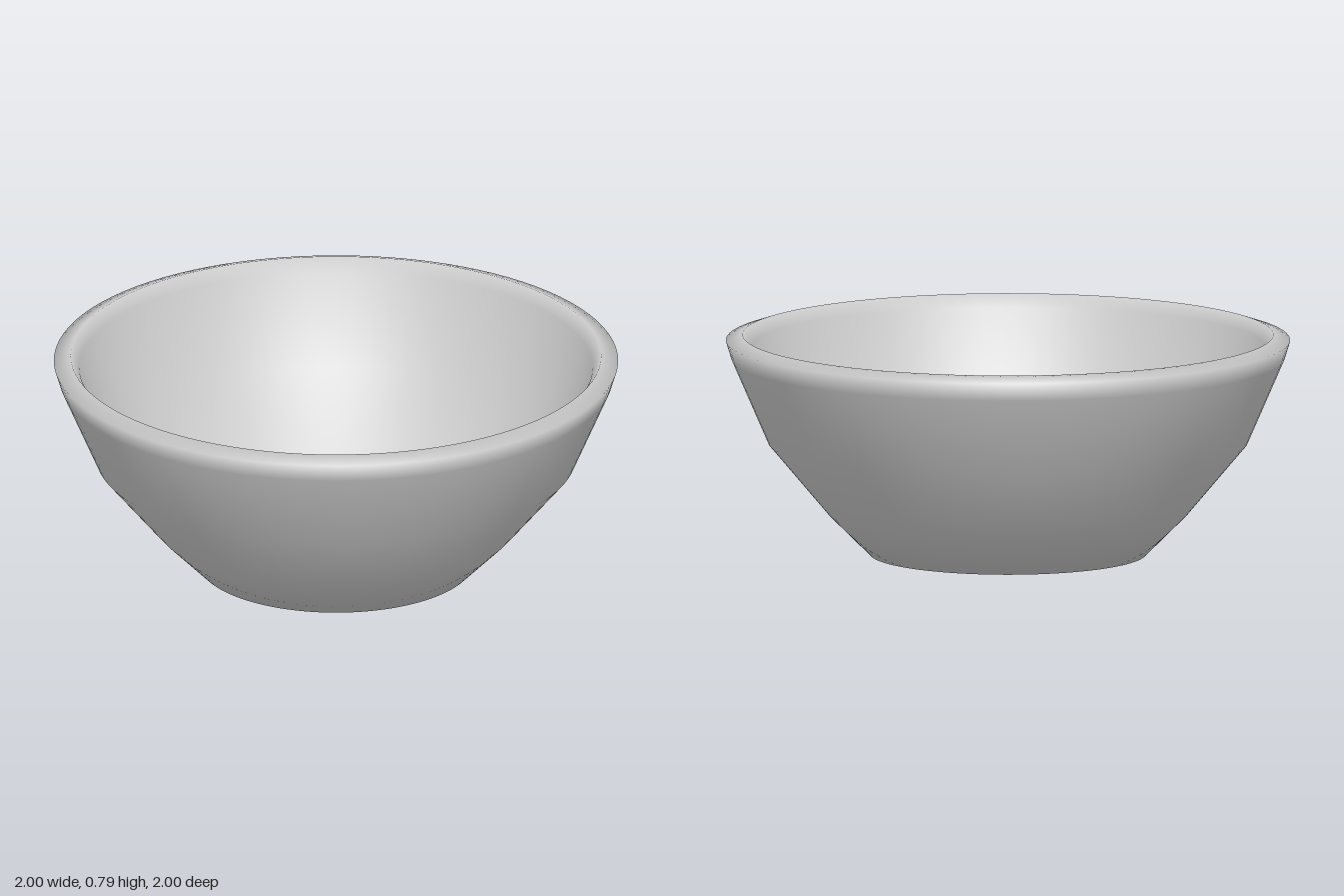
import * as THREE from 'three';

export function createModel() {
  const group = new THREE.Group();
  group.name = 'bowl';
  const glaze = new THREE.MeshStandardMaterial({ color: 0xcccccc });
  glaze.name = 'pale grey';

  // Closed half section: base, outer wall, rim, inner wall, shallow floor
  const section = [
    [0, 0], [0.49, 0],
    [0.64, 0.15], [0.85, 0.4], [0.98, 0.7], [1, 0.765],
    [0.94, 0.785], [0.91, 0.74],
    [0.79, 0.42], [0.58, 0.18], [0.42, 0.1], [0, 0.06],
  ].map(([r, y]) => new THREE.Vector2(r, y));

  const body = new THREE.Mesh(new THREE.LatheGeometry(section, 96), glaze);
  body.name = 'bowlBody';
  group.add(body);
  return group;
}
